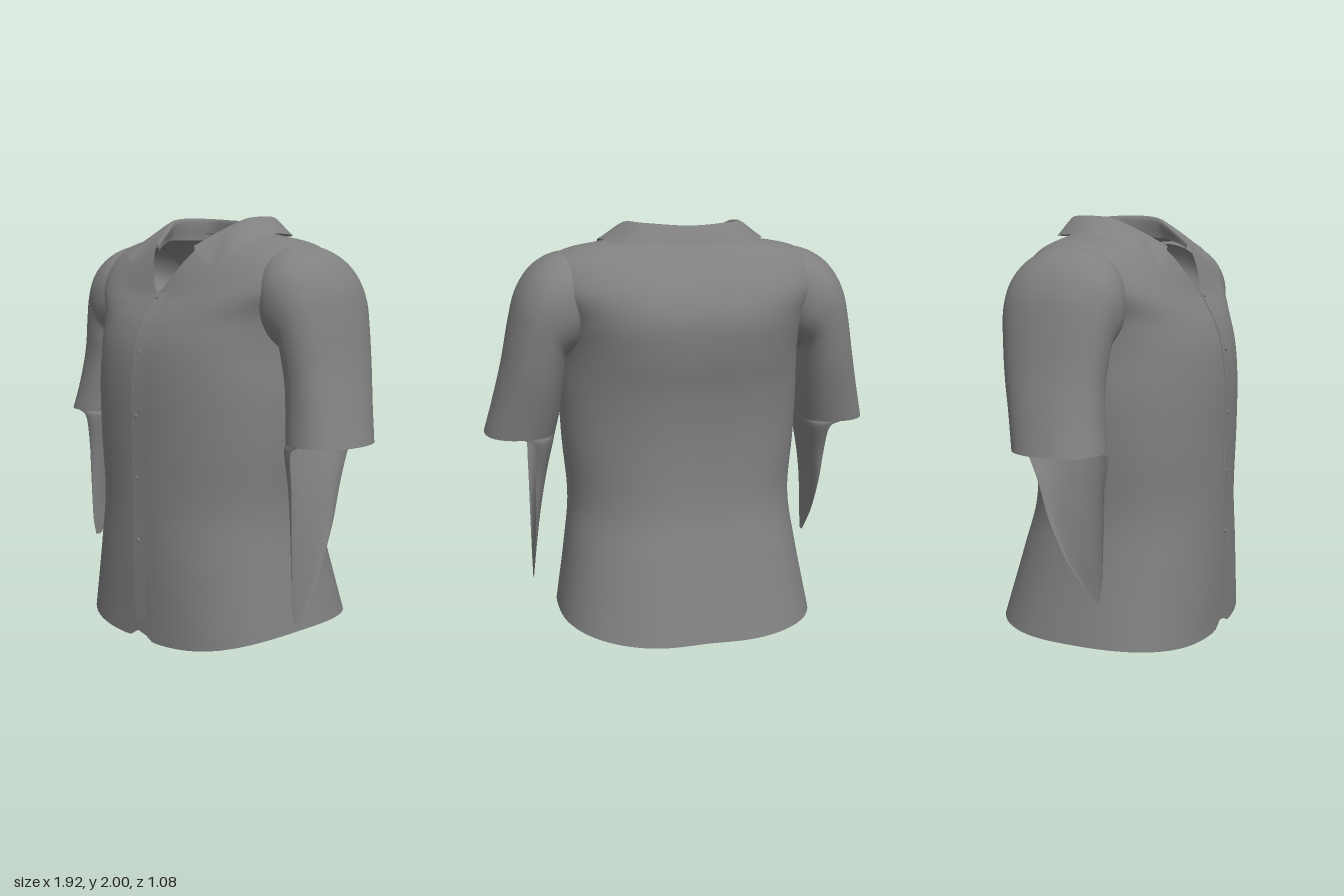
import * as THREE from 'three';
import { mergeVertices } from 'three/addons/utils/BufferGeometryUtils.js';

const V = (x, y, z) => new THREE.Vector3(x, y, z);
const spow = (v, p) => Math.sign(v) * Math.pow(Math.abs(v), p);

// Smooth surface through a list of rows, each row an equally long list of points
function loft(rows, steps) {
  const cols = rows[0].length, pos = [], index = [];
  for (let c = 0; c < cols; c++) {
    const curve = new THREE.CatmullRomCurve3(rows.map(r => r[c]), false, 'catmullrom', 0.5);
    for (let s = 0; s <= steps; s++) pos.push(...curve.getPoint(s / steps).toArray());
  }
  for (let c = 0; c < cols - 1; c++) {
    for (let s = 0; s < steps; s++) {
      const a = c * (steps + 1) + s, b = a + steps + 1;
      index.push(a, a + 1, b, b, a + 1, b + 1);
    }
  }
  const geo = new THREE.BufferGeometry();
  geo.setAttribute('position', new THREE.Float32BufferAttribute(pos, 3));
  geo.setIndex(index);
  const merged = mergeVertices(geo, 1e-5);
  merged.computeVertexNormals();
  return merged;
}

// Torso rings: y at front, side, back; half width; z at front, back, side;
// roundness at front, back; y falloff
const TORSO = [
  [0.00, 0.07, 0.05, 0.637, 0.520, -0.548, -0.02, 2.7, 2.4, 2],
  [0.38, 0.40, 0.40, 0.585, 0.525, -0.453, 0.02, 2.4, 2.3, 2],
  [0.65, 0.65, 0.65, 0.560, 0.525, -0.390, 0.05, 2.2, 2.2, 2],
  [0.95, 0.95, 0.95, 0.583, 0.530, -0.375, 0.05, 2.2, 2.2, 2],
  [1.20, 1.20, 1.20, 0.590, 0.530, -0.395, 0.05, 2.2, 2.2, 2],
  [1.38, 1.40, 1.40, 0.578, 0.512, -0.433, 0.03, 2.3, 2.3, 2],
  [1.50, 1.56, 1.57, 0.600, 0.475, -0.443, 0.01, 2.3, 2.4, 2],
  [1.58, 1.72, 1.70, 0.670, 0.430, -0.393, 0.00, 2.2, 2.4, 2.3],
  [1.62, 1.863, 1.81, 0.580, 0.403, -0.313, 0.00, 2.0, 2.3, 2.3],
  [1.65, 1.925, 1.93, 0.270, 0.385, -0.220, 0.00, 1.5, 2.4, 5],
];

function torsoRing([yf, ys, yb, w, zf, zb, zc, nf, nb, fall], i) {
  const pts = [], N = 160;
  for (let k = 0; k <= N; k++) {
    const a = ((k % N) / N) * Math.PI * 2, c = Math.cos(a), s = Math.sin(a);
    const e = 2 / (s < 0 ? nb : nf);
    let x = w * spow(c, e), y = ys + ((s > 0 ? yf : yb) - ys) * Math.pow(Math.abs(s), fall);
    let z = zc + ((s > 0 ? zf : zb) - zc) * Math.pow(Math.abs(s), e);
    if (s < 0) z += 0.025 * Math.exp(-((x / 0.17) ** 2)); // hollow along the spine
    if (i === 0) { // uneven hem with a notch at the front
      if (s > 0) y += 0.045 * Math.exp(-(((x - 0.02) / 0.05) ** 2));
      y += 0.02 * c ** 3;
      x -= 0.006;
    }
    pts.push(V(x, y, z));
  }
  return pts;
}

// Sleeve rings, starting inside the shoulder: outer x, y; inner x, y; front z, back z
const SLEEVE = [
  [0.46, 1.855, 0.50, 1.44, 0.23, -0.235],
  [0.59, 1.863, 0.535, 1.40, 0.27, -0.27],
  [0.71, 1.803, 0.56, 1.385, 0.275, -0.275],
  [0.79, 1.690, 0.575, 1.365, 0.26, -0.265],
  [0.83, 1.550, 0.58, 1.31, 0.25, -0.25],
  [0.87, 1.350, 0.588, 1.23, 0.24, -0.225],
  [0.917, 1.160, 0.60, 1.11, 0.25, -0.185],
  [0.96, 1.000, 0.62, 1.00, 0.27, -0.15],
];
const SLEEVE_POWER = 2 / 2.25;

function sleeveRing([ox, oy, ix, iy, zf, zb], side) {
  const pts = [], N = 64;
  for (let k = 0; k <= N; k++) {
    const a = ((k % N) / N) * Math.PI * 2, t = (1 + spow(Math.cos(a), SLEEVE_POWER)) / 2;
    pts.push(V(side * (ix + (ox - ix) * t), iy + (oy - iy) * t,
      (zf + zb) / 2 + (zf - zb) / 2 * spow(Math.sin(a), SLEEVE_POWER)));
  }
  return pts;
}

// Hanging inner flap rows: y, front z, back z, edge x, inward bulge
const FLAP = [
  [1.00, 0.27, -0.15, 0.790, 0.170],
  [0.96, 0.265, -0.135, 0.740, 0.110],
  [0.80, 0.25, -0.08, 0.735, 0.071],
  [0.60, 0.245, -0.03, 0.733, 0.035],
  [0.40, 0.24, 0.05, 0.732, 0.013],
  [0.28, 0.235, 0.12, 0.731, 0.005],
  [0.18, 0.22, 0.19, 0.730, 0.000],
];

function flapRow([y, zf, zb, ex, bulge], side, tip) {
  const pts = [], N = 24;
  for (let k = 0; k <= N; k++) {
    const a = (k / N) * Math.PI;
    pts.push(V(side * (ex - bulge * spow(Math.sin(a), SLEEVE_POWER)),
      1 - (1 - y) * (1 - tip) / 0.82,
      (zf + zb) / 2 + (zf - zb) / 2 * spow(Math.cos(a), SLEEVE_POWER)));
  }
  return pts;
}

// Collar half rows from the front point to the centre back
const COLLAR = {
  stand: [[.125, 1.84, .27], [.155, 1.86, .225], [.19, 1.875, .17], [.225, 1.885, .12],
    [.25, 1.89, .05], [.255, 1.89, -.06], [.20, 1.89, -.18], [0, 1.89, -.20]],
  fold: [[.13, 1.865, .272], [.16, 1.89, .235], [.19, 1.925, .18], [.225, 1.96, .12],
    [.255, 1.99, .05], [.26, 2.0, -.06], [.20, 1.997, -.17], [0, 1.985, -.205]],
  leaf: [[.135, 1.86, .28], [.22, 1.805, .308], [.295, 1.782, .315], [.36, 1.845, .245],
    [.39, 1.912, .06], [.38, 1.917, -.08], [.27, 1.908, -.225], [0, 1.90, -.26]],
};

function collarRow(half) {
  const left = half.map(p => V(...p));
  const right = half.slice(0, -1).reverse().map(([x, y, z]) => V(-x, y, z));
  return new THREE.CatmullRomCurve3([...left, ...right], false, 'catmullrom', 0.5).getPoints(112);
}

export function createModel() {
  const group = new THREE.Group();
  const cloth = new THREE.MeshStandardMaterial({ color: 0x808080, side: THREE.DoubleSide });
  cloth.name = 'grey cloth';
  const add = (name, geo, parent = group) => {
    const mesh = new THREE.Mesh(geo, cloth);
    mesh.name = name;
    parent.add(mesh);
    return mesh;
  };

  // Body, open at hem and neck
  add('torso', loft(TORSO.map(torsoRing), 72));

  // Sleeves with their hanging inner flaps
  for (const [side, label, tip] of [[1, 'left', 0.18], [-1, 'right', 0.32]]) {
    add(label + 'Sleeve', loft(SLEEVE.map(r => sleeveRing(r, side)), 42));
    add(label + 'SleeveFlap', loft(FLAP.map(r => flapRow(r, side, tip)), 36));
  }

  // Folded collar
  add('collar', loft([COLLAR.stand, COLLAR.fold, COLLAR.leaf].map(collarRow), 12));

  // Front overlap edge, following the centre front of the body
  const front = new THREE.CatmullRomCurve3(TORSO.map(r => V(0, r[0], r[4])), false, 'catmullrom', 0.5);
  const line = front.getPoints(72).filter(p => p.y > 0.06);
  const strip = [[-0.024, 0.001], [-0.022, 0.010], [0.01, 0.006], [0.06, 0.001]];
  add('frontPlacket', loft(strip.map(([x, dz]) => line.map(p => {
    const lean = Math.max(0, (p.y - 1.3) / 0.35); // edge swings to the centre at the neck
    return V(x + 0.022 * lean * lean, p.y, p.z + dz);
  })), 9));

  // Buttons
  const buttons = new THREE.Group();
  buttons.name = 'buttons';
  group.add(buttons);
  const buttonGeo = new THREE.CylinderGeometry(0.01, 0.01, 0.008, 14).rotateX(Math.PI / 2);
  for (const y of [1.63, 1.38, 1.08, 0.79, 0.49]) {
    const near = line.reduce((a, b) => Math.abs(b.y - y) < Math.abs(a.y - y) ? b : a);
    const button = add('button', buttonGeo, buttons);
    button.position.set(0.015, y, near.z + 0.01);
    if (y > 1.3) button.rotation.x = y > 1.5 ? -0.6 : -0.2;
  }
  return group;
}
